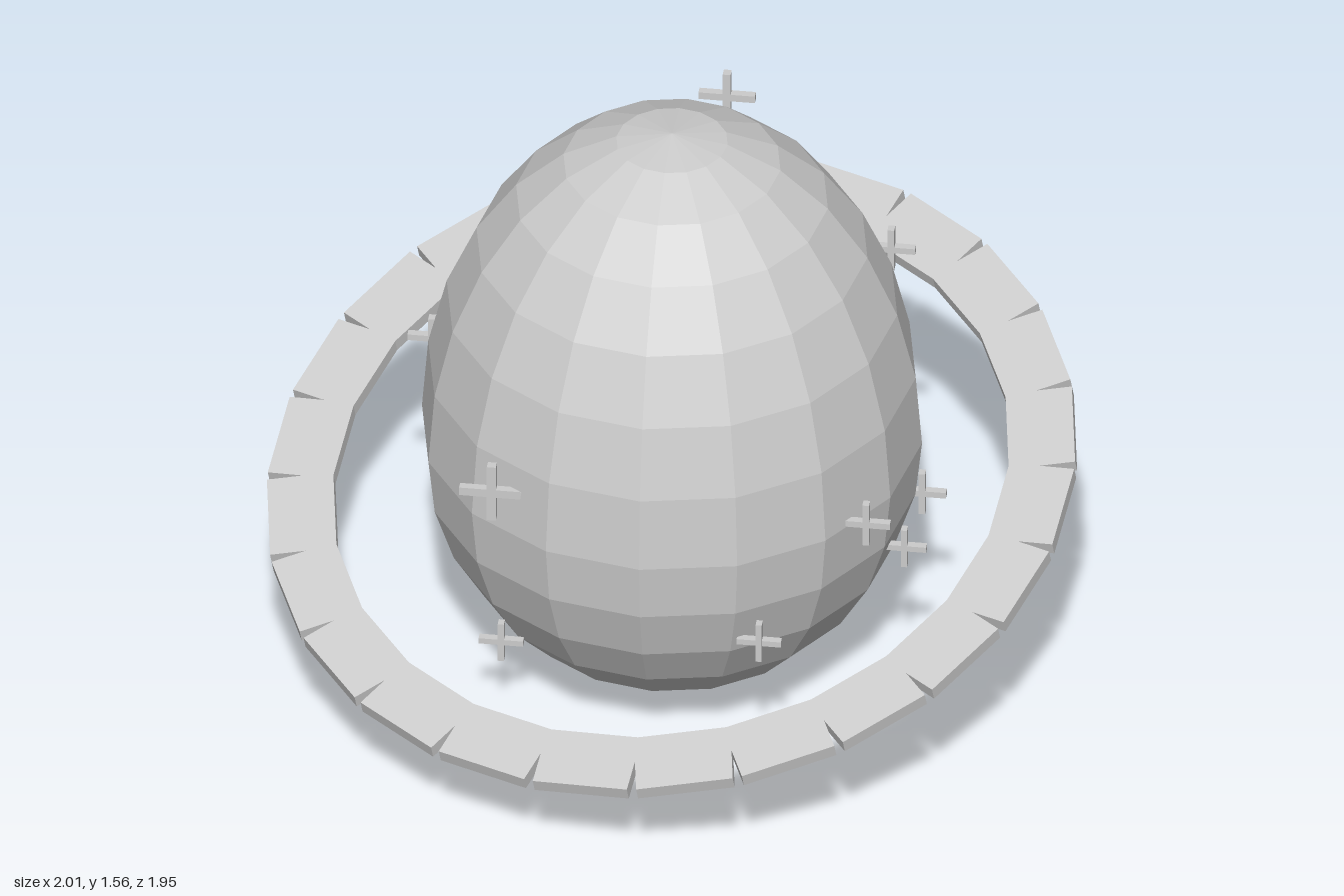
import * as THREE from 'three';

const grey = new THREE.MeshStandardMaterial({ color: 0xcccccc, flatShading: true });
grey.name = 'pale grey';

function addMesh(parent, name, geometry) {
  const mesh = new THREE.Mesh(geometry, grey);
  mesh.name = name;
  parent.add(mesh);
  return mesh;
}

// Egg: two half ellipses meeting at the widest ring, turned in 16 sides
function eggGeometry() {
  const radius = 0.62, waist = 0.68, crown = 0.88;
  const profile = [new THREE.Vector2(0, 0)];
  for (let i = 0; i <= 5; i++) {
    const a = THREE.MathUtils.degToRad(24 + (i * 66) / 5);
    profile.push(new THREE.Vector2(radius * Math.sin(a), waist * (1 - Math.cos(a))));
  }
  for (let i = 1; i < 7; i++) {
    const a = (i / 7) * (Math.PI / 2);
    profile.push(new THREE.Vector2(radius * Math.cos(a), waist + crown * Math.sin(a)));
  }
  profile.push(new THREE.Vector2(0, waist + crown));
  return new THREE.LatheGeometry(profile, 16);
}

// Ring: straight blocks that overlap inside and leave notches outside
function buildRing() {
  const ring = new THREE.Group();
  ring.name = 'tiltedRing';
  const count = 24, inner = 0.835, outer = 1.0;
  const block = new THREE.BoxGeometry(outer - inner, 0.035, 0.24);
  for (let i = 0; i < count; i++) {
    const a = ((i + 0.5) / count) * Math.PI * 2;
    const mesh = addMesh(ring, 'ringBlock', block);
    mesh.position.set(Math.cos(a), 0, Math.sin(a)).multiplyScalar((inner + outer) / 2);
    mesh.rotation.y = -a;
  }
  ring.rotation.set(0.275, 0, 0.11, 'ZXY');
  ring.position.y = 0.525;
  return ring;
}

// Star: a plus sign facing z
function buildStar(x, y, z, size) {
  const star = new THREE.Group();
  star.name = 'star';
  const bar = size * 0.14;
  addMesh(star, 'starCrossBar', new THREE.BoxGeometry(size, bar, 0.02));
  addMesh(star, 'starUpright', new THREE.BoxGeometry(bar, size, 0.022));
  star.position.set(x, y, z);
  return star;
}

export function createModel() {
  const model = new THREE.Group();
  model.name = 'ringedEgg';
  addMesh(model, 'egg', eggGeometry());
  model.add(buildRing());

  // x, y, z, size
  const stars = [
    [-0.38, 0.8, 0.505, 0.16],
    [0.53, 0.69, 0.365, 0.12],
    [0.285, 0.42, 0.52, 0.11],
    [-0.375, 0.25, 0.365, 0.11],
    [0.595, 0.465, 0.14, 0.11],
    [0.61, 0.475, -0.08, 0.12],
    [0.505, 1.05, -0.295, 0.12],
    [0.09, 1.43, -0.355, 0.14],
    [-0.32, 1.0, -0.51, 0.14],
    [-0.62, 0.75, -0.19, 0.12],
    [-0.02, 0.295, -0.55, 0.12],
  ];
  for (const s of stars) model.add(buildStar(...s));
  return model;
}
